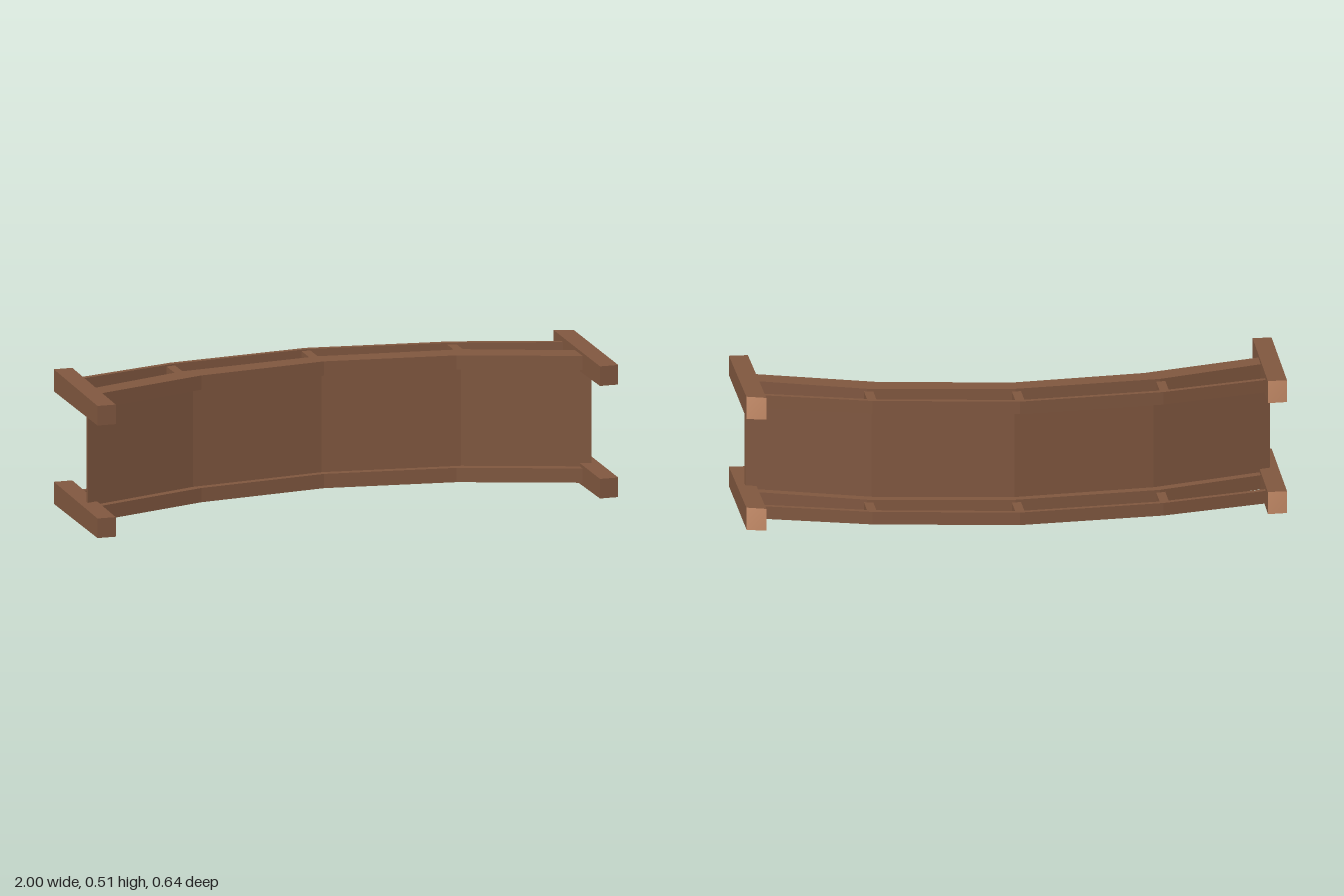
import * as THREE from 'three';

const wood = new THREE.MeshStandardMaterial({ color: 0x80573f });
wood.name = 'brown wood';
const cutWood = new THREE.MeshStandardMaterial({ color: 0xc48a66 });
cutWood.name = 'light end grain';

// Bent strip: front and back edges as [x, z] points, extruded from y0 to y1
function bentStrip(name, front, back, y0, y1) {
  const outline = [...front, ...[...back].reverse()].map(([x, z]) => new THREE.Vector2(x, -z));
  const geo = new THREE.ExtrudeGeometry(new THREE.Shape(outline), { depth: y1 - y0, bevelEnabled: false });
  geo.rotateX(-Math.PI / 2).translate(0, y0, 0);
  const mesh = new THREE.Mesh(geo, wood);
  mesh.name = name;
  return mesh;
}

// Post widening slightly to the back, with a sloping cut end in a lighter colour
function post(side, y) {
  const geo = new THREE.BoxGeometry(1, 1, 1);
  const p = geo.attributes.position;
  for (let i = 0; i < p.count; i++) {
    const outer = p.getX(i) * side > 0, top = p.getY(i) > 0, isFront = p.getZ(i) > 0;
    const x = side * (outer ? (isFront ? 1 : 0.995) : (isFront ? 0.93 : 0.924));
    let z = 0.318;
    if (!isFront) {
      if (side > 0) z = outer ? (top ? -0.205 : -0.214) : -0.229;
      else z = outer ? -0.229 : (top ? -0.229 : -0.236);
    }
    p.setXYZ(i, x, y + (top ? 1 : -1) * (isFront ? 0.037 : 0.0415), z);
  }
  geo.computeVertexNormals();
  const mesh = new THREE.Mesh(geo, [wood, wood, wood, wood, wood, cutWood]);
  mesh.name = side > 0 ? 'leftPost' : 'rightPost';
  return mesh;
}

export function createModel() {
  const model = new THREE.Group();
  model.name = 'archedBridge';

  // Thin deck spanning between the two beams
  model.add(bentStrip('deck',
    [[-0.967, 0.095], [-0.515, -0.058], [0, -0.122], [0.515, -0.058], [0.967, 0.095]],
    [[-0.967, 0.077], [-0.52, -0.077], [0, -0.14], [0.52, -0.077], [0.967, 0.077]],
    0.05, 0.46));

  // Each side: beam, rail, balusters and two posts
  for (const y of [0.0425, 0.468]) {
    const sideGroup = new THREE.Group();
    sideGroup.name = y < 0.2 ? 'lowerSide' : 'upperSide';

    sideGroup.add(bentStrip('beam',
      [[-0.965, 0.122], [-0.49, -0.033], [0, -0.095], [0.49, -0.033], [0.965, 0.128]],
      [[-0.965, 0.04], [-0.54, -0.112], [0, -0.174], [0.54, -0.112], [0.965, 0.04]],
      y - 0.027, y + 0.027));

    sideGroup.add(bentStrip('rail',
      [[-0.96, -0.124], [-0.53, -0.241], [0, -0.3], [0.53, -0.23], [0.96, -0.106]],
      [[-0.96, -0.146], [-0.535, -0.262], [0, -0.32], [0.535, -0.251], [0.96, -0.126]],
      y - 0.025, y + 0.023));

    for (const [x, z0, z1] of [[-0.543, -0.1, -0.246], [-0.004, -0.16, -0.308], [0.534, -0.1, -0.238]]) {
      const baluster = new THREE.Mesh(new THREE.BoxGeometry(0.034, 0.034, z0 - z1), wood);
      baluster.name = 'baluster';
      baluster.position.set(x, y, (z0 + z1) / 2);
      sideGroup.add(baluster);
    }

    for (const side of [-1, 1]) sideGroup.add(post(side, y));
    model.add(sideGroup);
  }
  return model;
}
